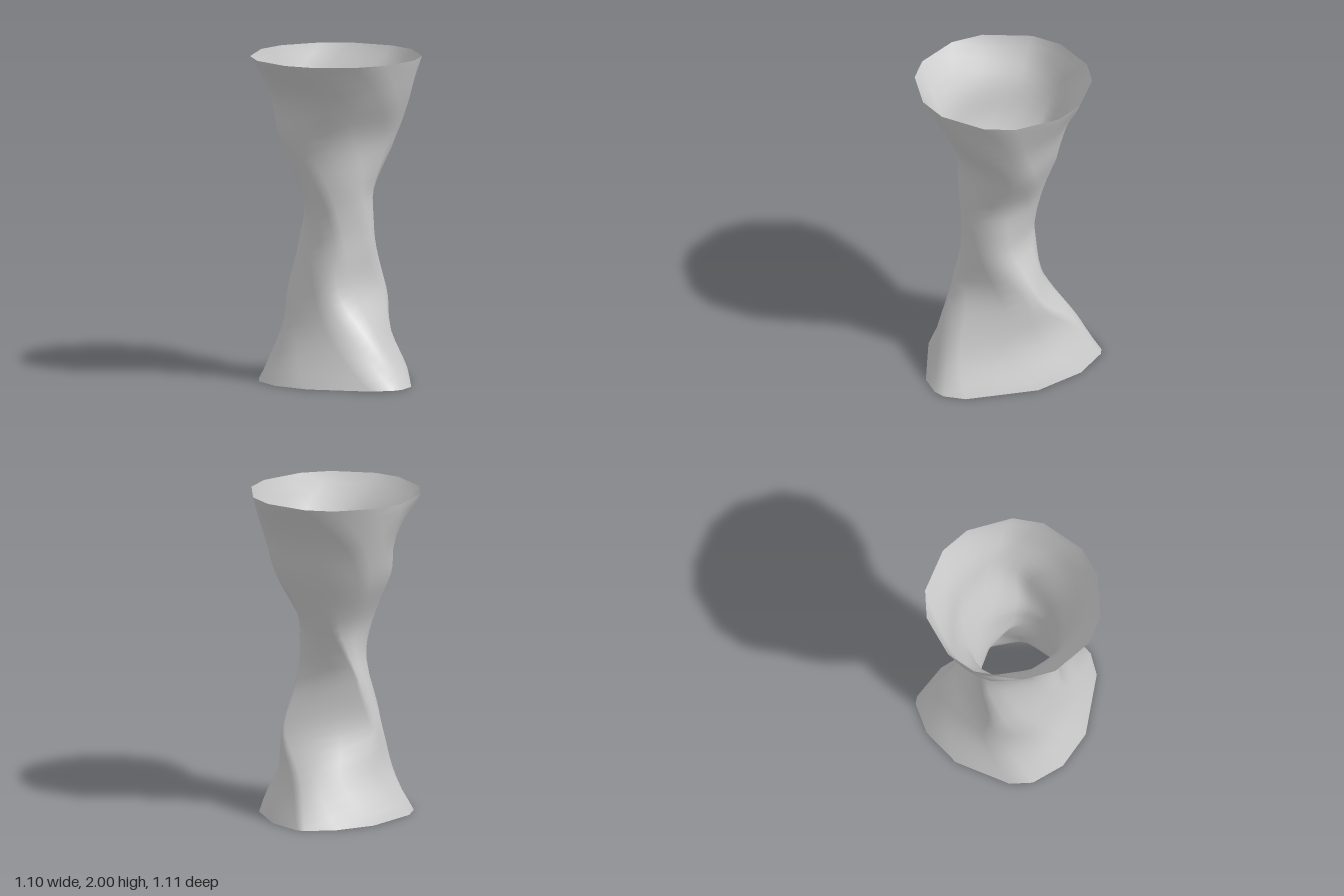
import * as THREE from 'three';

// Cross-sections: height, then the reach from the axis in eight directions,
// stepping by 45 degrees from +x towards +z
const SECTIONS = [
  [0, 0.545, 0.575, 0.46, 0.51, 0.475, 0.58, 0.553, 0.46],
  [0.28, 0.365, 0.43, 0.365, 0.375, 0.36, 0.42, 0.42, 0.345],
  [0.55, 0.245, 0.3, 0.3, 0.31, 0.32, 0.27, 0.28, 0.32],
  [0.85, 0.235, 0.26, 0.25, 0.24, 0.275, 0.25, 0.165, 0.21],
  [1.03, 0.235, 0.26, 0.253, 0.22, 0.242, 0.25, 0.18, 0.195],
  [1.2, 0.24, 0.27, 0.274, 0.255, 0.255, 0.275, 0.226, 0.21],
  [1.5, 0.305, 0.305, 0.305, 0.375, 0.385, 0.405, 0.31, 0.37],
  [1.75, 0.41, 0.42, 0.37, 0.42, 0.46, 0.48, 0.38, 0.44],
  [2, 0.51, 0.53, 0.553, 0.547, 0.547, 0.55, 0.53, 0.508],
];
const ROWS = 32;
const LOBES = 7;
const SIDES = LOBES * 2;
const TWIST = THREE.MathUtils.degToRad(142);
const START = THREE.MathUtils.degToRad(35) - TWIST;

// Smooth cubic interpolation of the section values at height y
function sectionAt(y) {
  let i = 0;
  while (i < SECTIONS.length - 2 && y > SECTIONS[i + 1][0]) i++;
  const a = SECTIONS[i], b = SECTIONS[i + 1];
  const p = SECTIONS[Math.max(i - 1, 0)], q = SECTIONS[Math.min(i + 2, SECTIONS.length - 1)];
  const d = b[0] - a[0], t = (y - a[0]) / d;
  return a.map((v, k) => {
    const m0 = ((b[k] - p[k]) / (b[0] - p[0])) * d;
    const m1 = ((q[k] - v) / (q[0] - a[0])) * d;
    const t2 = t * t, t3 = t2 * t;
    return (2 * t3 - 3 * t2 + 1) * v + (t3 - 2 * t2 + t) * m0
      + (3 * t2 - 2 * t3) * b[k] + (t3 - t2) * m1;
  });
}

// Point of the rounded outline whose outward direction is the given angle
function outlinePoint(reach, angle) {
  let h = 0, dh = 0;
  reach.forEach((v, k) => {
    const delta = angle - (k * Math.PI) / 4;
    h += v / 8;
    for (let n = 1; n <= 3; n++) {
      h += (v / 4) * Math.cos(n * delta);
      dh -= (v / 4) * n * Math.sin(n * delta);
    }
  });
  const c = Math.cos(angle), s = Math.sin(angle);
  return [h * c - dh * s, h * s + dh * c];
}

// Open hourglass tube whose seven blunt corners spiral upwards
function twistedTube() {
  const positions = [], index = [];
  for (let j = 0; j <= ROWS; j++) {
    const y = (2 * j) / ROWS;
    const reach = sectionAt(y).slice(1);
    for (let i = 0; i < SIDES; i++) {
      // Corners come in close pairs, one pair per lobe
      const pair = (Math.floor(i / 2) / LOBES) * Math.PI * 2;
      const angle = START + (TWIST * y) / 2 + pair + (i % 2 ? 0.18 : -0.18);
      const [x, z] = outlinePoint(reach, angle);
      positions.push(x, y, z);
      if (j < ROWS) {
        const a = j * SIDES + i, b = j * SIDES + ((i + 1) % SIDES);
        index.push(a, a + SIDES, b, b, a + SIDES, b + SIDES);
      }
    }
  }
  const geometry = new THREE.BufferGeometry();
  geometry.setAttribute('position', new THREE.Float32BufferAttribute(positions, 3));
  geometry.setIndex(index);
  geometry.computeVertexNormals();
  return geometry;
}

export function createModel() {
  const group = new THREE.Group();
  const material = new THREE.MeshStandardMaterial({ color: 0xcccccc, side: THREE.DoubleSide });
  const tube = new THREE.Mesh(twistedTube(), material);
  tube.name = 'twistedTube';
  group.add(tube);
  return group;
}
